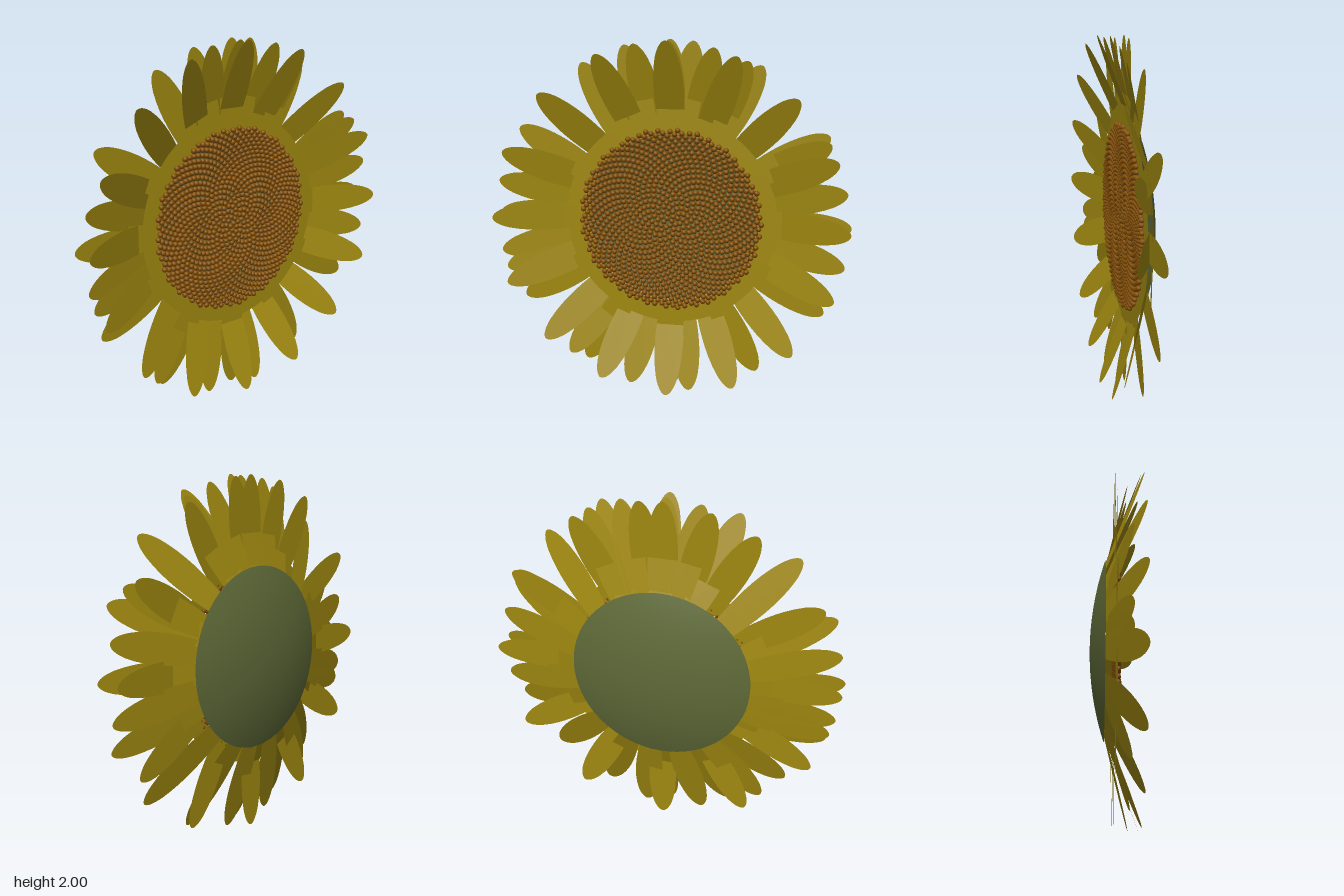
import * as THREE from 'three';
import { mergeGeometries } from 'three/addons/utils/BufferGeometryUtils.js';

const petalYellow = new THREE.MeshStandardMaterial({ color: 0xa08910, side: THREE.DoubleSide });
petalYellow.name = 'petalYellow';
const seedBrown = new THREE.MeshStandardMaterial({ color: 0x855005 });
seedBrown.name = 'seedBrown';
const sepalGreen = new THREE.MeshStandardMaterial({ color: 0x5f6a38, side: THREE.DoubleSide });
sepalGreen.name = 'sepalGreen';

// Flat petal running outwards along +y, sloping from baseZ to tipZ
function petalGeometry(baseZ, tipZ, tipR) {
  const r0 = 0.48;
  const s = new THREE.Shape();
  s.moveTo(-0.06, r0);
  s.bezierCurveTo(-0.085, 0.62, -0.095, 0.78, -0.062, tipR - 0.09);
  s.bezierCurveTo(-0.045, tipR - 0.03, -0.02, tipR, 0, tipR);
  s.bezierCurveTo(0.02, tipR, 0.045, tipR - 0.03, 0.062, tipR - 0.09);
  s.bezierCurveTo(0.095, 0.78, 0.085, 0.62, 0.06, r0);
  const g = new THREE.ShapeGeometry(s, 8);
  const p = g.attributes.position;
  for (let i = 0; i < p.count; i++) {
    const t = (p.getY(i) - r0) / (tipR - r0);
    p.setZ(i, baseZ + (tipZ - baseZ) * t);
  }
  g.computeVertexNormals();
  return g;
}

// One layer of petals, angles in degrees clockwise from the top
function petalLayer(name, angles, geometry) {
  const layer = new THREE.Group();
  layer.name = name;
  for (const a of angles) {
    const petal = new THREE.Mesh(geometry, petalYellow);
    petal.name = 'petal';
    petal.rotation.z = -THREE.MathUtils.degToRad(a);
    layer.add(petal);
  }
  return layer;
}

export function createModel() {
  const group = new THREE.Group();
  const head = new THREE.Group();
  head.name = 'flowerHead';
  head.position.y = 1;
  group.add(head);

  // Three layers of petals: steep, shallow and flat
  const every = (n) => Array.from({ length: n }, (_, i) => (i * 360) / n);
  head.add(petalLayer('frontPetals', every(16), petalGeometry(-0.06, 0.14, 1)));
  head.add(petalLayer('middlePetals',
    [0, 14.7, 26, 62, 78, 102, 173, 193, 215.5, 252, 258, 282, 349],
    petalGeometry(-0.055, 0.07, 0.995)));
  head.add(petalLayer('flatPetals', [...every(12), 7.4, 345],
    petalGeometry(-0.005, -0.005, 1)));

  // Flat collar between the seeds and the petals
  const collar = new THREE.Mesh(new THREE.RingGeometry(0.49, 0.6, 64), petalYellow);
  collar.name = 'collar';
  collar.position.z = -0.003;
  head.add(collar);

  // Shallow domed back
  const rim = 0.51, depth = 0.083;
  const radius = (rim * rim + depth * depth) / (2 * depth);
  const dome = new THREE.SphereGeometry(radius, 64, 12, 0, Math.PI * 2, 0, Math.asin(rim / radius));
  dome.rotateX(-Math.PI / 2);
  dome.translate(0, 0, radius - 0.14);
  const back = new THREE.Mesh(dome, sepalGreen);
  back.name = 'greenBack';
  head.add(back);

  // Seeds set in a golden-angle spiral
  const count = 1000, golden = Math.PI * (3 - Math.sqrt(5));
  const seed = new THREE.SphereGeometry(0.0155, 8, 6);
  const seeds = [];
  for (let i = 0; i < count; i++) {
    const r = 0.516 * Math.sqrt((i + 0.5) / count), a = i * golden;
    seeds.push(seed.clone().translate(r * Math.cos(a), r * Math.sin(a), 0.008));
  }
  const seedDisc = new THREE.Mesh(mergeGeometries(seeds), seedBrown);
  seedDisc.name = 'seeds';
  head.add(seedDisc);

  return group;
}
